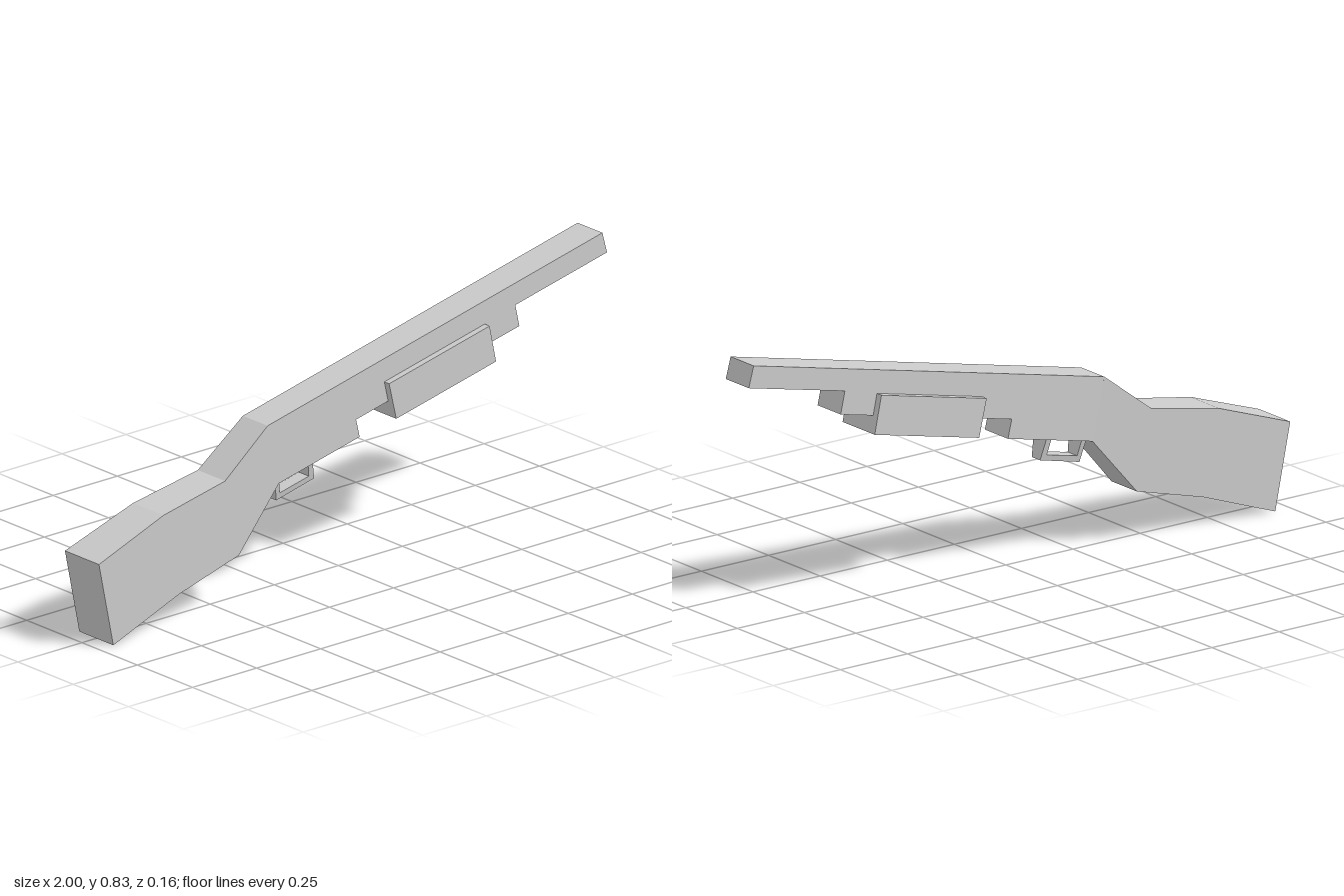
import * as THREE from 'three';

const SLOPE = 0.22; // tilt of the barrel axis
const grey = new THREE.MeshStandardMaterial({ color: 0xcccccc, flatShading: true });

// Extrude a side profile; halfWidth(x, y) gives its thickness to either side
function slab(name, points, halfWidth) {
  const shape = new THREE.Shape(points.map(([x, y]) => new THREE.Vector2(x, y)));
  const geo = new THREE.ExtrudeGeometry(shape, { depth: 2, bevelEnabled: false });
  geo.translate(0, 0, -1);
  const p = geo.attributes.position;
  for (let i = 0; i < p.count; i++) {
    p.setZ(i, Math.sign(p.getZ(i)) * halfWidth(p.getX(i), p.getY(i)));
  }
  geo.computeVertexNormals();
  const mesh = new THREE.Mesh(geo, grey);
  mesh.name = name;
  return mesh;
}

export function createModel() {
  const model = new THREE.Group();
  model.name = 'longGun';

  // Stock, widening evenly from the receiver to the butt
  model.add(slab('stock', [
    [-1, 0.268], [-0.944, 0.0], [-0.682, 0.094], [-0.441, 0.157], [-0.28, 0.343],
    [-0.324, 0.535], [-0.495, 0.404], [-0.741, 0.358],
  ], (x, y) => THREE.MathUtils.mapLinear(x + SLOPE * y, -0.943, -0.205, 0.077, 0.056)));

  // Receiver, magazine tube and barrel in one stepped profile
  model.add(slab('receiverAndBarrel', [
    [-0.28, 0.343], [0.035, 0.413], [0.021, 0.471], [0.658, 0.611], [0.642, 0.681],
    [1, 0.76], [0.982, 0.826], [-0.324, 0.535],
  ], () => 0.056));

  // Sliding fore-end grip
  model.add(slab('foreEnd', [
    [0.131, 0.563], [0.159, 0.446], [0.548, 0.532], [0.523, 0.65],
  ], () => 0.078));

  // Trigger guard, narrowing towards its underside
  model.add(slab('triggerGuard', [
    [-0.277, 0.352], [-0.259, 0.274], [-0.112, 0.308], [-0.13, 0.385],
    [-0.148, 0.381], [-0.135, 0.321], [-0.248, 0.296], [-0.261, 0.356],
  ], (x, y) => THREE.MathUtils.mapLinear(y - SLOPE * x, 0.333, 0.405, 0.02, 0.032)));

  return model;
}
